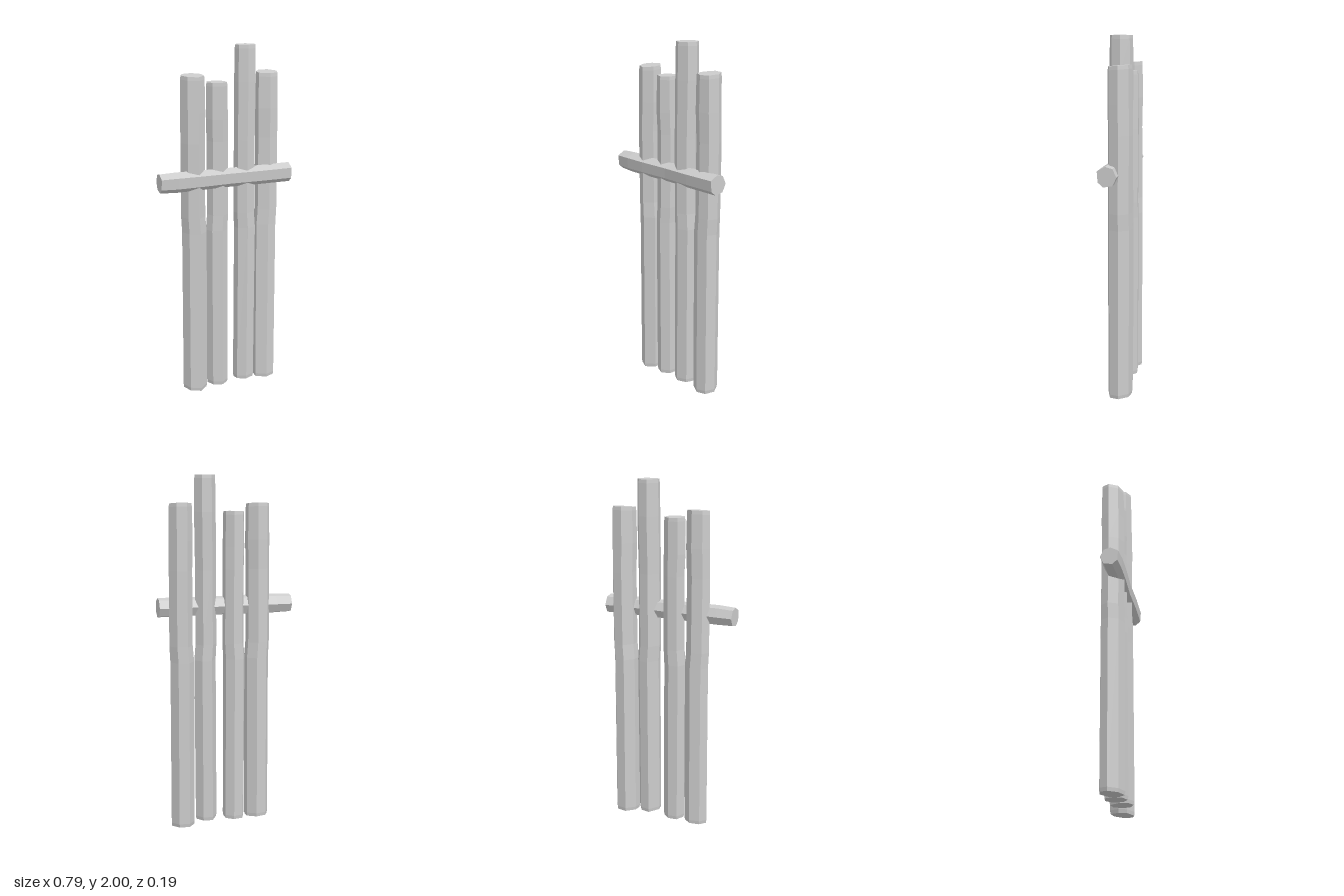
import * as THREE from 'three';

const material = new THREE.MeshStandardMaterial({ color: 0xcccccc, flatShading: true });

// Lofts a closed log along +y. corners: [x, z] pairs around the axis;
// rings: { y, scale, dx, dz, tilt } from the bottom to the top.
function log(name, corners, rings) {
  const n = corners.length;
  const cx = corners.reduce((s, c) => s + c[0], 0) / n;
  const cz = corners.reduce((s, c) => s + c[1], 0) / n;
  const pos = [], index = [];
  for (const { y, scale = 1, dx = 0, dz = 0, tilt = 0 } of rings) {
    for (const [x, z] of corners) {
      const ox = (x - cx) * scale, oz = (z - cz) * scale;
      pos.push(cx + ox + dx, y + oz * tilt, cz + oz + dz);
    }
  }
  // Bark faces
  for (let r = 0; r < rings.length - 1; r++) {
    for (let i = 0; i < n; i++) {
      const a = r * n + i, b = r * n + (i + 1) % n;
      index.push(b, a, a + n, b, a + n, b + n);
    }
  }
  // Sawn ends
  const top = (rings.length - 1) * n;
  for (let i = 1; i < n - 1; i++) {
    index.push(0, i, i + 1, top, top + i + 1, top + i);
  }
  const geometry = new THREE.BufferGeometry();
  geometry.setAttribute('position', new THREE.Float32BufferAttribute(pos, 3));
  geometry.setIndex(index);
  const flat = geometry.toNonIndexed();
  flat.computeVertexNormals();
  const mesh = new THREE.Mesh(flat, material);
  mesh.name = name;
  return mesh;
}

// Upright posts: seven-sided outlines, uneven heights, end tilts
const posts = [
  { bottom: 0.01, top: 1.845, tilt: -0.08, bend: 0.003, corners: [
    [-0.256, 0], [-0.23, -0.045], [-0.17, -0.06], [-0.12, -0.022], [-0.12, 0.035], [-0.17, 0.078], [-0.23, 0.055]] },
  { bottom: 0.015, top: 1.803, tilt: 0, bend: -0.003, corners: [
    [-0.107, 0], [-0.085, -0.054], [-0.03, -0.063], [0.014, -0.03], [0.014, 0.03], [-0.03, 0.065], [-0.085, 0.045]] },
  { bottom: 0.025, top: 2, tilt: 0, bend: 0.003, corners: [
    [0.06, 0], [0.1, -0.067], [0.155, -0.06], [0.19, -0.013], [0.175, 0.04], [0.12, 0.065], [0.07, 0.04]] },
  { bottom: 0.005, top: 1.845, tilt: -0.08, bend: -0.003, corners: [
    [0.203, -0.04], [0.245, -0.096], [0.305, -0.088], [0.34, -0.035], [0.32, 0.02], [0.265, 0.04], [0.203, 0.01]] },
];

// Cross rail outline: x points down once the rail is laid on its side
const railCorners = [
  [-0.055, 0.005], [-0.045, -0.035], [0, -0.057], [0.045, -0.035], [0.055, 0.015], [0.03, 0.045], [-0.03, 0.05]];

export function createModel() {
  const group = new THREE.Group();
  group.name = 'fence';

  posts.forEach(({ bottom, top, tilt, bend, corners }, i) => {
    group.add(log('post' + (i + 1), corners, [
      { y: bottom, scale: 0.95, tilt },
      { y: bottom + 0.02, scale: 0.99, tilt },
      { y: 0.97, scale: 0.99, dx: bend },
      { y: 1.06, scale: 0.97, dx: -bend },
      { y: 1.48, scale: 0.96, dx: -bend, dz: bend },
      { y: top - 0.2, scale: 0.98 },
      { y: top - 0.02, scale: 0.94, tilt },
      { y: top, scale: 0.91, tilt },
    ]));
  });

  // Slightly skewed rail crossing the front of the posts
  const rail = log('crossRail', railCorners, [
    { y: -0.393, scale: 0.95, dz: 0.04 },
    { y: -0.3, scale: 1.02, dz: 0.041 },
    { y: -0.17, scale: 1, dz: 0.038 },
    { y: 0.02, scale: 0.97, dz: 0.027 },
    { y: 0.2, scale: 0.98, dz: 0.025 },
    { y: 0.393, scale: 1, dz: 0.015 },
  ]);
  rail.rotation.z = -Math.PI / 2;
  rail.position.y = 1.272;
  group.add(rail);

  return group;
}
